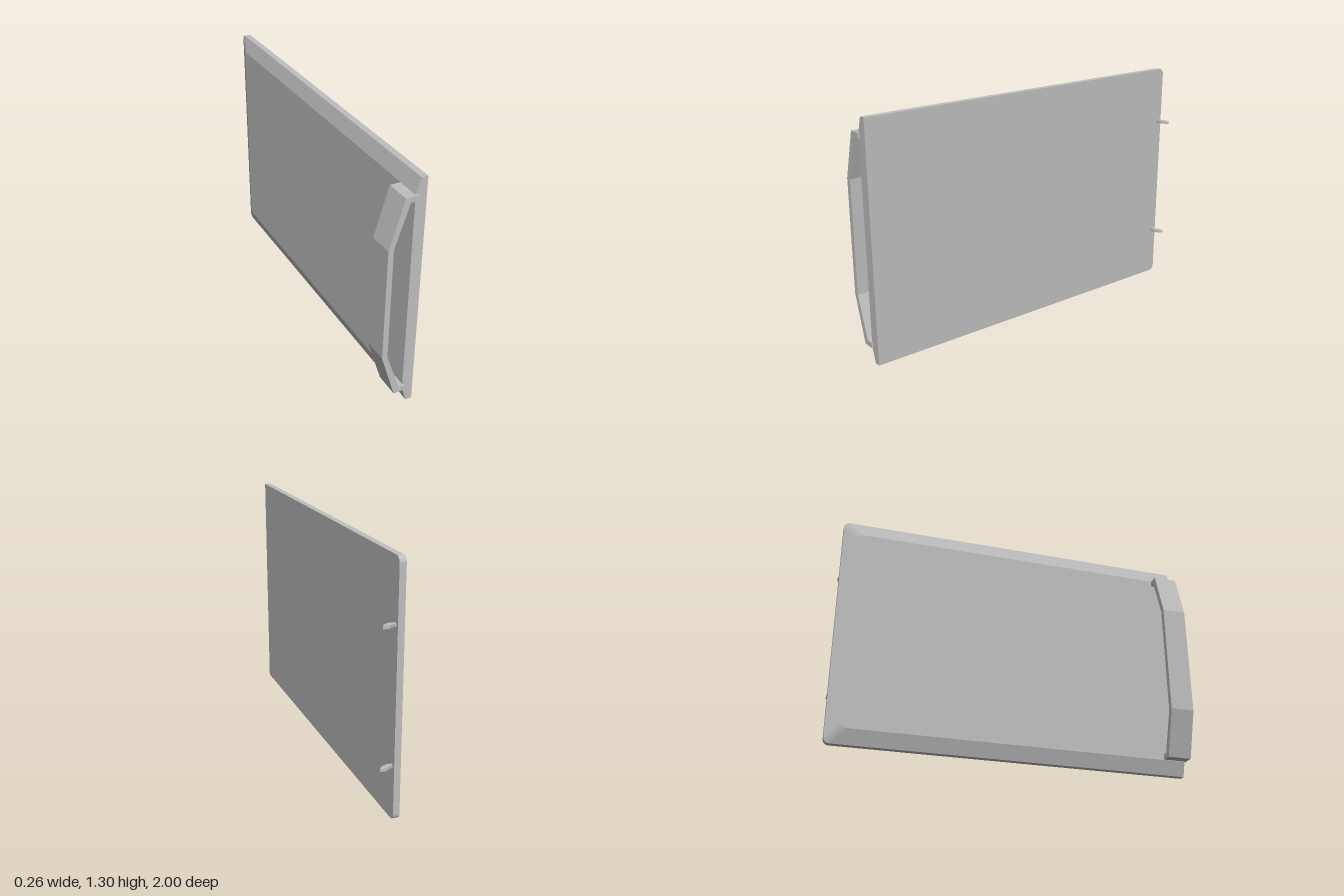
import * as THREE from 'three';

const H = 1.297, FRONT = 0.99, BACK = -1;

// Panel outline as [z, y]: square at the front edge, rounded at the back corners
function outline(inset, r) {
  const pts = [[FRONT, inset]];
  const back = BACK + inset, steps = 6;
  for (const [cy, start] of [[inset + r, -Math.PI / 2], [H - inset - r, 0]]) {
    for (let i = 0; i <= steps; i++) {
      const a = start + (i / steps) * Math.PI / 2;
      pts.push([back + r - r * Math.cos(a), cy + r * Math.sin(a)]);
    }
  }
  pts.push([FRONT, H - inset]);
  return pts;
}

// Slab lofted through three outlines, bevelled on the -x side
function panelGeometry() {
  const loops = [[0.06, 0, 0.03], [0.026, 0, 0.03], [0, 0.08, 0.03]].map(
    ([x, inset, r]) => outline(inset, r).map(([z, y]) => [x, y, z]));
  const pos = [];
  const tri = (a, b, c) => pos.push(...a, ...b, ...c);
  const n = loops[0].length;
  for (let k = 0; k < 2; k++) {
    for (let i = 0; i < n; i++) {
      const j = (i + 1) % n, a = loops[k], b = loops[k + 1];
      tri(a[i], b[i], b[j]);
      tri(a[i], b[j], a[j]);
    }
  }
  for (let i = 1; i < n - 1; i++) {
    tri(loops[0][0], loops[0][i], loops[0][i + 1]);
    tri(loops[2][0], loops[2][i + 1], loops[2][i]);
  }
  const geo = new THREE.BufferGeometry();
  geo.setAttribute('position', new THREE.Float32BufferAttribute(pos, 3));
  geo.computeVertexNormals();
  return geo;
}

function extrude(points, depth) {
  const shape = new THREE.Shape(points.map(([x, y]) => new THREE.Vector2(x, y)));
  return new THREE.ExtrudeGeometry(shape, { depth, bevelEnabled: false });
}

export function createModel() {
  const group = new THREE.Group();
  const grey = new THREE.MeshStandardMaterial({ color: 0xbfbfbf });
  grey.name = 'grey';
  const add = (name, geo) => {
    const mesh = new THREE.Mesh(geo, grey);
    mesh.name = name;
    group.add(mesh);
    return mesh;
  };

  add('panel', panelGeometry());

  // Wide angular pull handle along the front edge
  const handle = add('handle', extrude([
    [0.01, 1.216], [-0.055, 1.216], [-0.131, 0.96], [-0.134, 0.34], [-0.055, 0.083], [0.01, 0.083],
    [0.01, 0.113], [-0.028, 0.113], [-0.104, 0.34], [-0.102, 0.96], [-0.028, 1.187], [0.01, 1.187],
  ], 0.135));
  handle.position.z = 0.865;

  // Two small curved hooks at the back edge, profile as [x, -z]
  const profile = [
    [0.055, 0.965], [0.08, 0.964], [0.1, 0.968], [0.117, 0.978], [0.131, 0.997],
    [0.125, 1], [0.098, 1], [0.08, 0.99], [0.068, 0.983], [0.055, 0.982],
  ];
  for (const [name, y] of [['lowerHook', 0.273], ['upperHook', 0.974]]) {
    const geo = extrude(profile, 0.015);
    geo.rotateX(-Math.PI / 2);
    add(name, geo).position.y = y;
  }

  return group;
}
